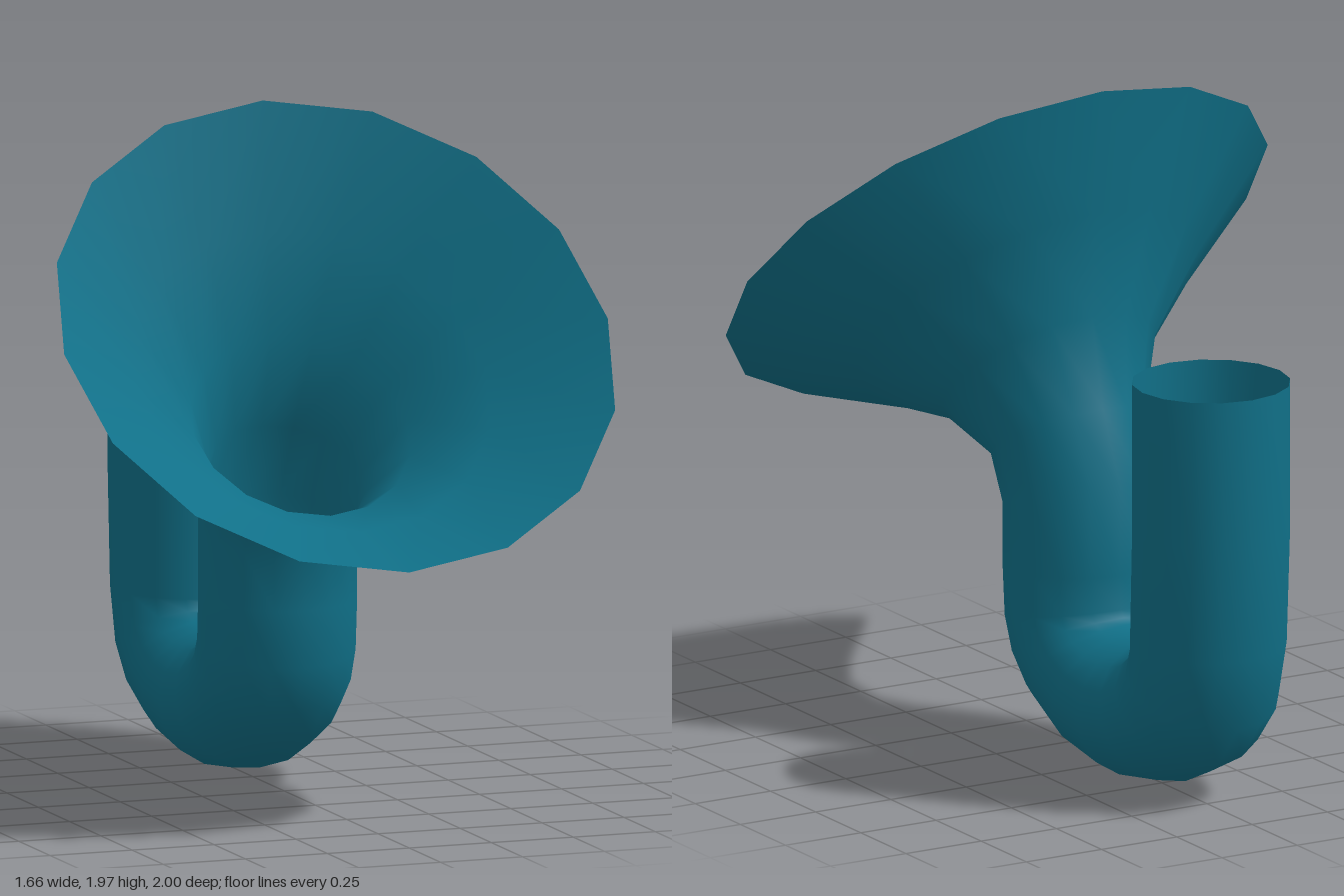
import * as THREE from 'three';

const SIDES = 16;
const TUBE_RADIUS = 0.228;

// Rings along the horn: [outer z, outer y, inner z, inner y] across the bend plane
const RINGS = [
  // upright pipe
  [-1, 1.26, -0.545, 1.26],
  [-1, 0.83, -0.547, 0.83],
  // U bend
  [-0.975, 0.48, -0.54, 0.47],
  [-0.92, 0.26, -0.525, 0.445],
  [-0.81, 0.13, -0.49, 0.425],
  [-0.63, 0.04, -0.45, 0.42],
  [-0.41, 0.003, -0.41, 0.42],
  [-0.19, 0.04, -0.36, 0.42],
  [0, 0.14, -0.32, 0.428],
  [0.1, 0.25, -0.29, 0.44],
  [0.15, 0.38, -0.275, 0.46],
  [0.165, 0.55, -0.27, 0.56],
  // neck
  [0.165, 0.7, -0.27, 0.82],
  [0.22, 0.8, -0.175, 1.03],
  // flaring bell
  [0.37, 0.86, -0.115, 1.29],
  [0.6, 0.85, -0.13, 1.6],
  [1, 0.8, -0.172, 1.972],
];

// Skin the rings with one smooth open surface
function hornGeometry() {
  const positions = [];
  const indices = [];
  RINGS.forEach(([oz, oy, iz, iy], i) => {
    const cz = (oz + iz) / 2, cy = (oy + iy) / 2;
    const dz = (oz - iz) / 2, dy = (oy - iy) / 2;
    const halfWidth = Math.max(TUBE_RADIUS, Math.hypot(dz, dy));
    for (let j = 0; j < SIDES; j++) {
      const a = (j / SIDES) * Math.PI * 2;
      positions.push(halfWidth * Math.sin(a), cy + dy * Math.cos(a), cz + dz * Math.cos(a));
      if (i === RINGS.length - 1) continue;
      const p = i * SIDES + j, q = i * SIDES + (j + 1) % SIDES;
      indices.push(p, q, p + SIDES, q, q + SIDES, p + SIDES);
    }
  });
  const geometry = new THREE.BufferGeometry();
  geometry.setAttribute('position', new THREE.Float32BufferAttribute(positions, 3));
  geometry.setIndex(indices);
  geometry.computeVertexNormals();
  return geometry;
}

export function createModel() {
  const group = new THREE.Group();
  group.name = 'curvedHorn';
  const material = new THREE.MeshStandardMaterial({ color: 0x107088, side: THREE.DoubleSide });
  const horn = new THREE.Mesh(hornGeometry(), material);
  horn.name = 'hornPipeAndBell';
  group.add(horn);
  return group;
}
